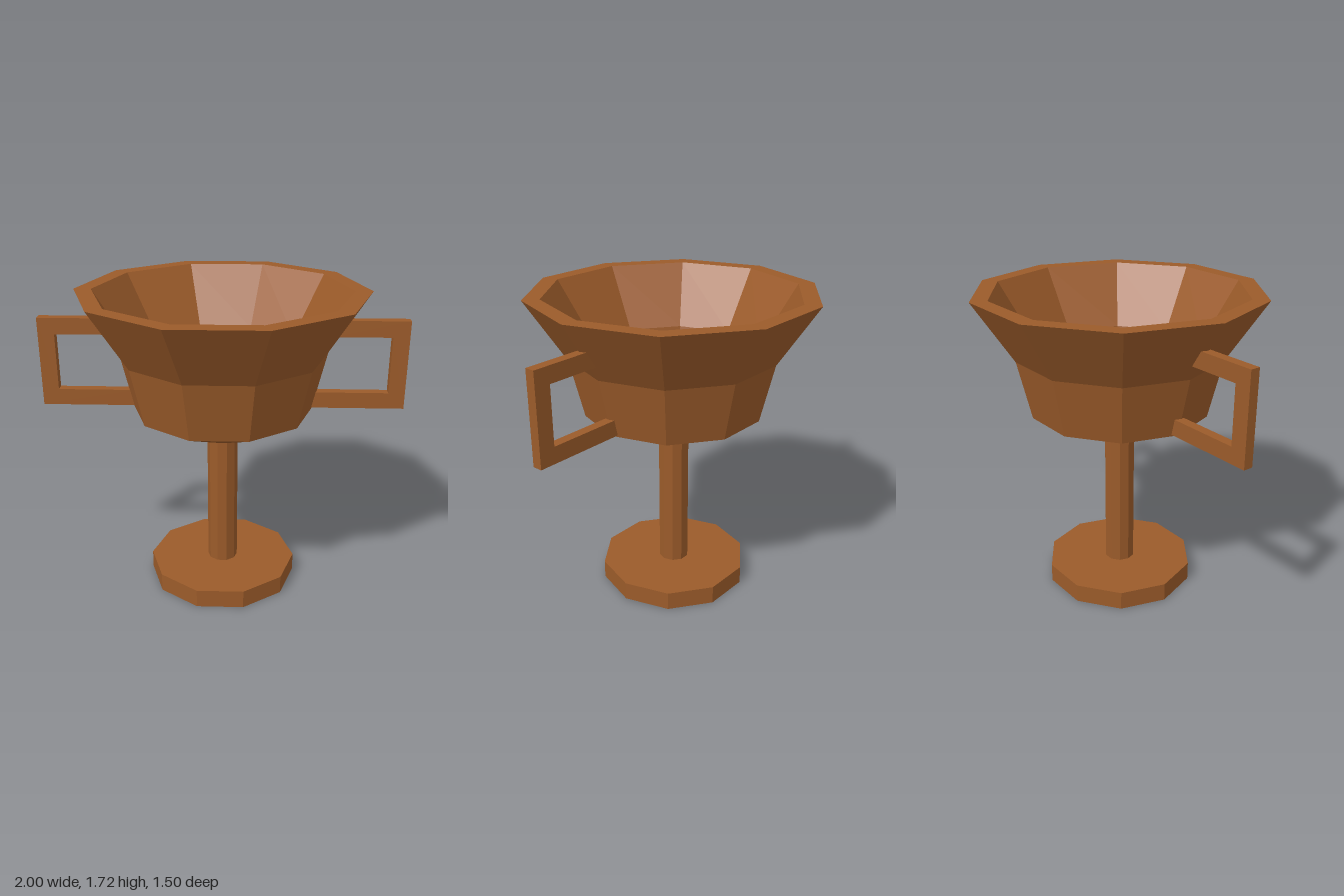
import * as THREE from 'three';

const SIDES = 10;

export function createModel() {
  const group = new THREE.Group();
  const material = new THREE.MeshStandardMaterial({ color: 0x9b5b2a, flatShading: true });

  const add = (name, geometry) => {
    const mesh = new THREE.Mesh(geometry, material);
    mesh.name = name;
    group.add(mesh);
    return mesh;
  };

  // Ten-sided solid of revolution with corners on the x axis
  const turned = (name, profile) => add(name, new THREE.LatheGeometry(
    profile.map(([r, y]) => new THREE.Vector2(r, y)), SIDES, Math.PI / 2));

  // Foot disc and slender stem
  turned('base', [[0, 0], [0.425, 0], [0.425, 0.105], [0, 0.105]]);
  turned('stem', [[0.086, 0.1], [0.086, 0.88]]);

  // Hollow bowl: outer wall up to the rim, then inner wall down to the floor
  turned('bowl', [
    [0, 0.875], [0.086, 0.875], [0.495, 1.06], [0.572, 1.385], [0.79, 1.72],
    [0.697, 1.72], [0.487, 1.385], [0.405, 1.06], [0, 1.06],
  ]);

  // Square C-shaped handles, their ends sunk into the bowl wall
  const outline = [
    [0.46, 1.07], [1, 1.07], [1, 1.565], [0.65, 1.565],
    [0.6, 1.475], [0.91, 1.475], [0.91, 1.16], [0.47, 1.16],
  ];
  for (const [name, side] of [['leftHandle', 1], ['rightHandle', -1]]) {
    const shape = new THREE.Shape(outline.map(([x, y]) => new THREE.Vector2(side * x, y)));
    const handle = new THREE.ExtrudeGeometry(shape, { depth: 0.054, bevelEnabled: false });
    add(name, handle.translate(0, 0, -0.036));
  }

  return group;
}
